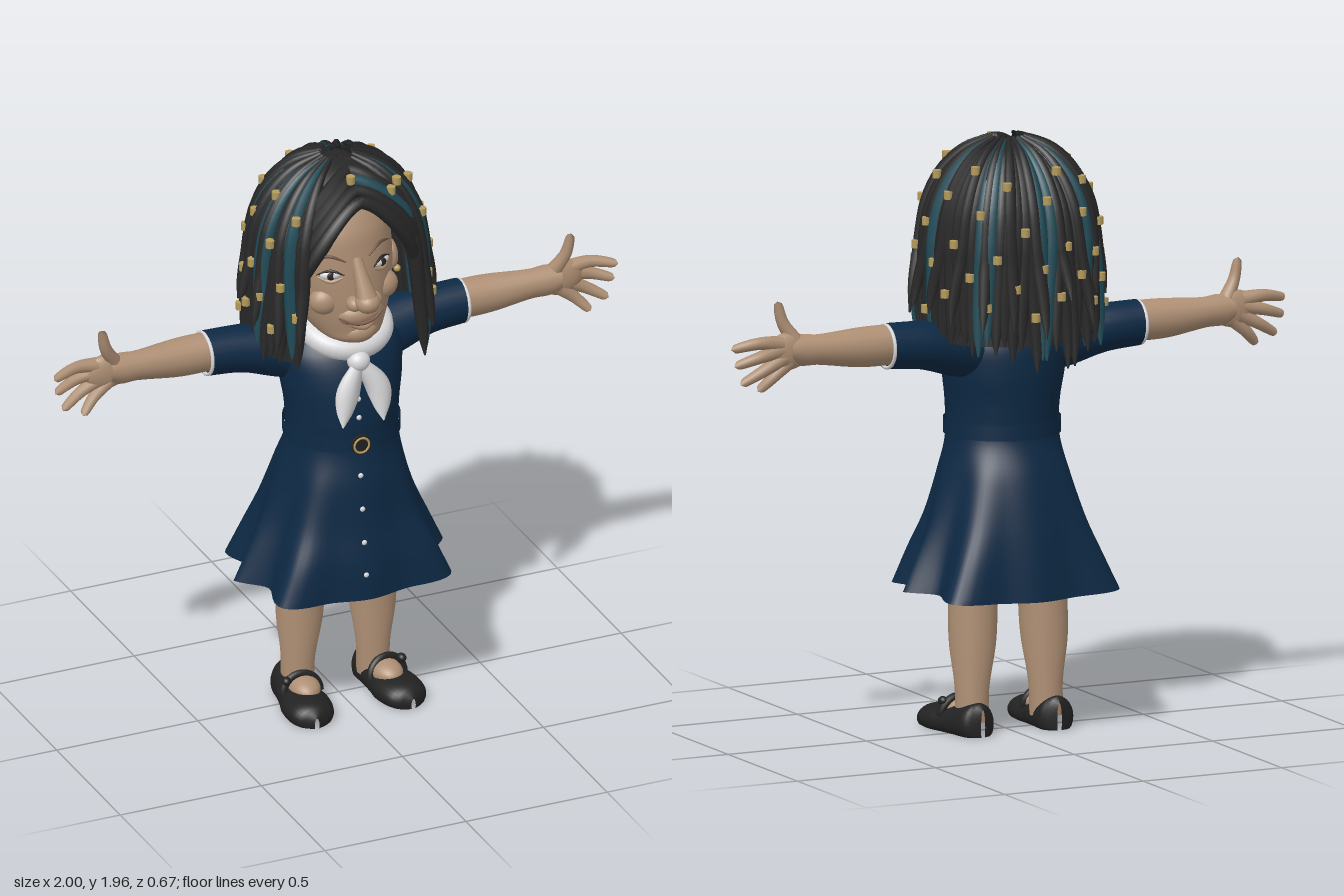
import * as THREE from 'three';

const M = {};
for (const [name, color] of Object.entries({
  skin: 0xae8f74, hair: 0x272727, teal: 0x1f4a56, gold: 0xb59c5d, navy: 0x0d2944,
  white: 0xd8d8da, black: 0x222223, lip: 0x7d5a48, brow: 0x6b5442, iris: 0x2b2522,
})) {
  M[name] = new THREE.MeshStandardMaterial({ color });
  M[name].name = name;
}
M.navy.side = M.hair.side = THREE.DoubleSide;

const V = (x, y, z) => new THREE.Vector3(x, y, z);
let seed = 7;
const rnd = () => (seed = (seed * 16807) % 2147483647) / 2147483647;

// Smooth (Hermite) interpolation of rows [key, ...values]
function at(rows, k) {
  let i = 0;
  while (i < rows.length - 2 && k > rows[i + 1][0]) i++;
  const a = rows[i], b = rows[i + 1], p = rows[i - 1] ?? a, q = rows[i + 2] ?? b;
  const h = b[0] - a[0], t = Math.min(1, Math.max(0, (k - a[0]) / h));
  return a.map((v, c) => {
    const m0 = h * (b[c] - p[c]) / (b[0] - p[0]), m1 = h * (q[c] - v) / (q[0] - a[0]);
    return (2 * t ** 3 - 3 * t * t + 1) * v + (t ** 3 - 2 * t * t + t) * m0
      + (3 * t * t - 2 * t ** 3) * b[c] + (t ** 3 - t * t) * m1;
  });
}

function add(parent, name, geo, mat, pos, scale) {
  const m = new THREE.Mesh(geo, mat);
  m.name = name;
  if (pos) m.position.set(...pos);
  if (scale) m.scale.set(...scale);
  parent.add(m);
  return m;
}
const ball = (parent, name, mat, pos, radii) =>
  add(parent, name, new THREE.SphereGeometry(1, 24, 16), mat, pos, radii);

// Surface through closed rings; pt(ringFraction, angle) gives each point
function loft(m, n, pt, wrap = true) {
  const pos = [], idx = [];
  for (let i = 0; i <= m; i++) for (let j = 0; j < n; j++) pos.push(...pt(i / m, j / n * Math.PI * 2).toArray());
  for (let i = 0; i < m; i++) for (let j = 0; j < n; j++) {
    const a = i * n + j, b = i * n + (j + 1) % n;
    idx.push(a, a + n, b, b, a + n, b + n);
  }
  const g = new THREE.BufferGeometry();
  g.setAttribute('position', new THREE.Float32BufferAttribute(pos, 3));
  g.setIndex(idx);
  g.computeVertexNormals();
  return g;
}

// Tube with varying radius; rows are [fraction, radius], flat squashes it in z
function taper(points, rows, segs = 20, sides = 12, flat = 1) {
  const path = new THREE.CatmullRomCurve3(points);
  const g = new THREE.TubeGeometry(path, segs, 1, sides);
  const p = g.attributes.position, v = V(0, 0, 0);
  for (let i = 0; i <= segs; i++) {
    const c = path.getPointAt(i / segs), r = Math.max(0.0005, at(rows, i / segs)[1]);
    for (let j = 0; j <= sides; j++) {
      const k = i * (sides + 1) + j;
      v.fromBufferAttribute(p, k).sub(c).multiplyScalar(r);
      p.setXYZ(k, c.x + v.x, c.y + v.y, c.z + v.z * flat);
    }
  }
  return g;
}

// Dress profile: y, half width, half depth, centre z, fold strength
const DRESS = [[0.46, 0.36, 0.28, -0.005, 1], [0.58, 0.31, 0.265, 0, 0.75], [0.7, 0.262, 0.24, 0, 0.45],
  [0.85, 0.215, 0.212, 0.01, 0.2], [0.97, 0.186, 0.178, 0.02, 0], [1.08, 0.188, 0.18, 0.02, 0],
  [1.2, 0.205, 0.178, 0.01, 0], [1.3, 0.2, 0.155, 0, 0], [1.37, 0.13, 0.1, 0, 0], [1.4, 0.07, 0.07, 0, 0]];
const FOLDS = [[0, 1.03], [0.25, 0.86], [0.5, 1.16], [0.75, 0.95], [1, 0.95]];
const HEAD = [[1.365, 0.02, 0.03, 0.13], [1.38, 0.08, 0.085, 0.13], [1.42, 0.125, 0.145, 0.08], [1.5, 0.165, 0.205, 0.03],
  [1.6, 0.188, 0.225, 0.01], [1.7, 0.192, 0.222, 0.005], [1.78, 0.182, 0.212, 0], [1.86, 0.14, 0.17, -0.01],
  [1.9, 0.09, 0.11, -0.02], [1.92, 0.01, 0.01, -0.02]];

function buildDress(g) {
  const dress = new THREE.Group();
  dress.name = 'dress';
  g.add(dress);
  add(dress, 'dressBody', loft(48, 96, (t, a) => {
    const [y, rx, rz, zc, f] = at(DRESS, 0.46 + t * 0.94);
    const q = a % Math.PI, lobe = at(FOLDS, Math.min(q, Math.PI - q) / (Math.PI / 2))[1];
    const k = 1 + f * (lobe - 1);
    return V(Math.cos(a) * rx * k, y + f * 0.02 * Math.cos(a) ** 2, zc + Math.sin(a) * rz * k);
  }), M.navy);
  add(dress, 'belt', loft(4, 48, (t, a) => V(Math.cos(a) * 0.193, 0.975 + t * 0.05, 0.02 + Math.sin(a) * 0.185)), M.navy);
  const buckle = add(dress, 'buckle', new THREE.CylinderGeometry(0.034, 0.034, 0.014, 20), M.black, [-0.015, 1, 0.207]);
  buckle.rotation.x = Math.PI / 2;
  add(dress, 'buckleRing', new THREE.TorusGeometry(0.026, 0.004, 6, 20), M.gold, [-0.015, 1, 0.214]);
  for (const y of [1.22, 1.16, 1.095, 0.89, 0.775, 0.66, 0.55]) {
    const [, , rz, zc, f] = at(DRESS, y);
    ball(dress, 'button', M.white, [-0.018, y, zc + rz * (1 - 0.05 * f)], [0.009, 0.009, 0.006]);
  }
}

function buildLimbs(g, s) {
  const arm = new THREE.Group(), leg = new THREE.Group();
  arm.name = s > 0 ? 'leftArm' : 'rightArm';
  leg.name = s > 0 ? 'leftLeg' : 'rightLeg';
  g.add(arm, leg);
  const P = (...c) => c.map(([x, y, z]) => V(x * s, y, z));
  // Sleeve with pale trim
  add(arm, 'sleeve', taper(P([0.08, 1.26, -0.02], [0.2, 1.28, -0.035], [0.33, 1.298, -0.047], [0.455, 1.305, -0.05]),
    [[0, 0.1], [0.3, 0.098], [0.65, 0.08], [1, 0.075]], 20, 24, 0.95), M.navy);
  const trim = add(arm, 'sleeveTrim', new THREE.TorusGeometry(0.07, 0.006, 8, 28), M.white, [0.455 * s, 1.305, -0.05]);
  trim.rotation.y = Math.PI / 2;
  // Forearm, palm and digits
  add(arm, 'forearm', taper(P([0.4, 1.31, -0.05], [0.55, 1.31, -0.05], [0.7, 1.315, -0.045], [0.8, 1.32, -0.04]),
    [[0, 0.066], [0.35, 0.066], [0.75, 0.05], [0.9, 0.052], [1, 0.04]], 24, 20, 0.85), M.skin);
  ball(arm, 'palm', M.skin, [0.805 * s, 1.318, -0.042], [0.078, 0.062, 0.03]);
  [[[0.78, 1.35, -0.04], [0.815, 1.41, -0.025], [0.832, 1.48, -0.02]],
    [[0.83, 1.345, -0.045], [0.91, 1.352, -0.045], [1, 1.335, -0.022]],
    [[0.83, 1.325, -0.045], [0.91, 1.307, -0.05], [0.992, 1.28, -0.03]],
    [[0.82, 1.3, -0.045], [0.895, 1.26, -0.045], [0.968, 1.217, -0.025]],
    [[0.8, 1.285, -0.04], [0.855, 1.235, -0.035], [0.9, 1.188, -0.015]]].forEach((c, i) =>
    add(arm, i ? 'finger' : 'thumb', taper(P(...c), [[0, 0.027], [0.4, 0.021], [0.85, 0.016], [0.95, 0.012], [1, 0]], 16, 10), M.skin));
  // Leg and buckled strap shoe
  add(leg, 'lowerLeg', taper(P([0.115, 0.8, -0.01], [0.125, 0.45, -0.02], [0.13, 0.28, -0.025], [0.135, 0.04, -0.03]),
    [[0, 0.1], [0.4, 0.08], [0.65, 0.076], [0.86, 0.055], [1, 0.055]], 28, 24, 1.08), M.skin);
  const shoe = new THREE.Group();
  shoe.name = 'shoe';
  shoe.position.set(0.15 * s, 0, 0);
  shoe.rotation.y = 0.1 * s;
  leg.add(shoe);
  const SHOE = [[0, 0.008, 0.035], [0.05, 0.05, 0.058], [0.15, 0.074, 0.072], [0.35, 0.083, 0.078], [0.5, 0.074, 0.082],
    [0.7, 0.066, 0.1], [0.88, 0.062, 0.108], [0.96, 0.045, 0.106], [1, 0.008, 0.09]];
  add(shoe, 'shoeBody', loft(30, 28, (t, a) => {
    const [, w, h] = at(SHOE, t);
    return V(Math.cos(a) * w, Math.max(0, h * (0.35 + 0.65 * Math.sin(a))), 0.21 - 0.33 * t);
  }), M.black);
  ball(shoe, 'instep', M.skin, [-0.01 * s, 0.07, 0.045], [0.052, 0.04, 0.075]);
  const strap = add(shoe, 'shoeStrap', new THREE.TorusGeometry(0.062, 0.013, 8, 20, Math.PI), M.black, [-0.003 * s, 0.053, 0.045]);
  strap.rotation.x = -0.2;
  ball(shoe, 'strapButton', M.black, [0.05 * s, 0.1, 0.045], [0.015, 0.015, 0.018]);
}

function buildHead(g) {
  add(g, 'neck', new THREE.CylinderGeometry(0.085, 0.095, 0.24, 24), M.skin, [0, 1.4, 0.02]);
  // Head tilts slightly to one side
  const head = new THREE.Group();
  head.name = 'head';
  head.position.set(0.1, 0.005, 0);
  head.rotation.z = 0.08;
  g.add(head);
  add(head, 'face', loft(44, 48, (t, a) => {
    const [y, rx, rz, zc] = at(HEAD, 1.365 + t * 0.555);
    return V(Math.cos(a) * Math.max(rx, 0.002), y, zc + Math.sin(a) * Math.max(rz, 0.002));
  }), M.skin);
  const F = (x, y, out = 0) => {
    const [, rx, rz, zc] = at(HEAD, y);
    return V(x, y, zc + rz * Math.sqrt(1 - (x / rx) ** 2) + out);
  };
  const line = (name, mat, pts, r, out) =>
    add(head, name, taper(pts.map(([x, y]) => F(x, y, out)), [[0, r * 0.4], [0.5, r], [1, r * 0.3]], 16, 8), mat);
  // Nose, chin and muzzle
  add(head, 'noseBridge', taper([V(0, 1.69, 0.215), V(0, 1.63, 0.245), V(0, 1.56, 0.28)], [[0, 0.018], [0.5, 0.026], [1, 0.038]]), M.skin);
  ball(head, 'noseTip', M.skin, [0, 1.555, 0.28], [0.042, 0.036, 0.044]);
  ball(head, 'muzzle', M.skin, [0, 1.485, 0.185], [0.085, 0.05, 0.065]);
  ball(head, 'chin', M.skin, [0, 1.412, 0.19], [0.06, 0.042, 0.045]);
  line('mouth', M.lip, [[-0.08, 1.488], [-0.04, 1.466], [0, 1.46], [0.04, 1.466], [0.08, 1.488]], 0.007, 0.012);
  line('lowerLip', M.skin, [[-0.05, 1.46], [0, 1.444], [0.05, 1.46]], 0.014, 0.004);
  for (const s of [1, -1]) {
    ball(head, 'nostril', M.skin, [0.035 * s, 1.545, 0.25], [0.026, 0.025, 0.032]);
    ball(head, 'cheek', M.skin, [0.1 * s, 1.54, 0.165], [0.055, 0.05, 0.045]);
    ball(head, 'ear', M.skin, [0.195 * s, 1.56, 0.03], [0.022, 0.055, 0.035]);
    ball(head, 'earring', M.gold, [0.205 * s, 1.51, 0.05], [0.012, 0.012, 0.012]);
    const e = F(0.09 * s, 1.645);
    ball(head, 'eye', M.white, [e.x, e.y, e.z - 0.004], [0.034, 0.016, 0.014]).rotation.y = 0.4 * s;
    ball(head, 'iris', M.iris, [e.x, e.y, e.z + 0.005], [0.015, 0.015, 0.007]);
    line('upperLid', M.iris, [[0.052 * s, 1.645], [0.09 * s, 1.663], [0.13 * s, 1.645]], 0.005, 0.005);
    line('lowerLid', M.skin, [[0.055 * s, 1.635], [0.09 * s, 1.623], [0.128 * s, 1.637]], 0.008, 0.002);
    line('eyebrow', M.brow, [[0.04 * s, 1.688], [0.09 * s, 1.712], [0.145 * s, 1.688]], 0.006, 0.001);
  }
}

// Point on the hair shell: over the skull for s < 0.5, then hanging to endY
function hairAt(phi, s, endY, lift = 0, flare = 0.02) {
  const u = Math.max(0, s * 2 - 1), th = Math.min(s, 0.5) * Math.PI;
  const r = (0.272 + lift) * Math.sin(th) + flare * u;
  const y = s < 0.5 ? 1.62 + (0.33 + lift) * Math.cos(th) : 1.62 + (endY - 1.62) * u;
  return V(Math.sin(phi) * r, y, Math.cos(phi) * r * 0.97 - 0.02);
}

function buildHair(g) {
  const hair = new THREE.Group();
  hair.name = 'hair';
  g.add(hair);
  const open = 0.82, span = Math.PI * 2 - open * 2;
  // Under layer, cut away around the face
  add(hair, 'hairCap', loft(26, 120, (t, a) => {
    const d = Math.min(a, Math.PI * 2 - a);
    const end = d < open ? 0.25 + 0.12 * (d / open) ** 2 : 1;
    return hairAt(-a, Math.max(0.004, t * end), 1.31, -0.008);
  }), M.hair);
  // Locks
  const teal = [1, 2, 8, 15, 16, 22, 23, 29, 33, 39, 40, 44];
  const lock = (phi, endY, lift, flare, mat, r) => {
    const sway = (rnd() - 0.5) * 0.12, pts = [];
    for (let k = 0; k <= 9; k++) {
      const s = 0.06 + 0.94 * k / 9;
      pts.push(hairAt(phi + sway * Math.sin(s * 5), s, endY, lift, flare));
    }
    add(hair, mat === M.teal ? 'tealLock' : 'lock',
      taper(pts, [[0, r * 0.3], [0.3, r * 0.85], [0.7, r], [0.9, r * 0.75], [1, 0.003]], 26, 7), mat);
  };
  const bead = (p, phi) => {
    const b = add(hair, 'bead', new THREE.CylinderGeometry(0.015, 0.015, 0.026, 8), M.gold, p.toArray());
    b.rotation.y = phi;
  };
  for (let i = 0; i < 46; i++) {
    const phi = open + 0.03 + (span - 0.06) * i / 45, side = Math.abs(Math.sin(phi));
    const mat = teal.includes(i) ? M.teal : M.hair;
    lock(phi, 1.21 + 0.06 * side + rnd() * 0.08, mat === M.teal ? 0.006 : 0, 0.01 + rnd() * 0.02, mat, 0.025);
    if (i % 3 === 0) lock(phi + 0.06, 1.33 + rnd() * 0.14, 0.012, 0.02 + rnd() * 0.03, M.hair, 0.022);
    bead(hairAt(phi, 0.24 + ((i * 0.37) % 0.6), 1.28, 0.028), phi);
  }
  // Swept locks framing the forehead
  for (const s of [1, -1]) for (let k = 0; k < 4; k++) {
    const pts = [];
    for (let j = 0; j <= 8; j++) {
      const q = j / 8;
      pts.push(hairAt(s * (q * (open + 0.05 + k * 0.06) - 0.05), 0.245 - k * 0.045 + 0.26 * q * q, 1.3, 0));
    }
    const mat = s > 0 && k === 2 ? M.teal : M.hair;
    add(hair, 'fringeLock', taper(pts, [[0, 0.02], [0.5, 0.026], [1, 0.018]], 20, 7), mat);
  }
  bead(hairAt(-0.1, 0.17, 1.3, 0.025), 0);
  bead(hairAt(0.6, 0.25, 1.3, 0.025), 0.6);
}

function buildScarf(g) {
  const scarf = new THREE.Group();
  scarf.name = 'scarf';
  g.add(scarf);
  const collar = add(scarf, 'scarfCollar', new THREE.TorusGeometry(0.108, 0.042, 14, 40), M.white, [0, 1.365, 0.045], [1.08, 1, 1]);
  collar.rotation.x = Math.PI / 2 + 0.4;
  ball(scarf, 'scarfKnot', M.white, [-0.01, 1.29, 0.178], [0.038, 0.036, 0.035]);
  for (const [mid, end] of [[-0.06, -0.085], [0.045, 0.06]])
    add(scarf, 'scarfTail', taper([V(-0.01, 1.29, 0.185), V(mid, 1.2, 0.208), V(end, 1.08, 0.222)],
      [[0, 0.02], [0.45, 0.042], [0.75, 0.03], [1, 0.002]], 20, 14, 0.4), M.white);
}

export function createModel() {
  const model = new THREE.Group();
  model.name = 'girl';
  buildDress(model);
  for (const s of [1, -1]) buildLimbs(model, s);
  buildHead(model);
  buildHair(model);
  buildScarf(model);
  return model;
}
